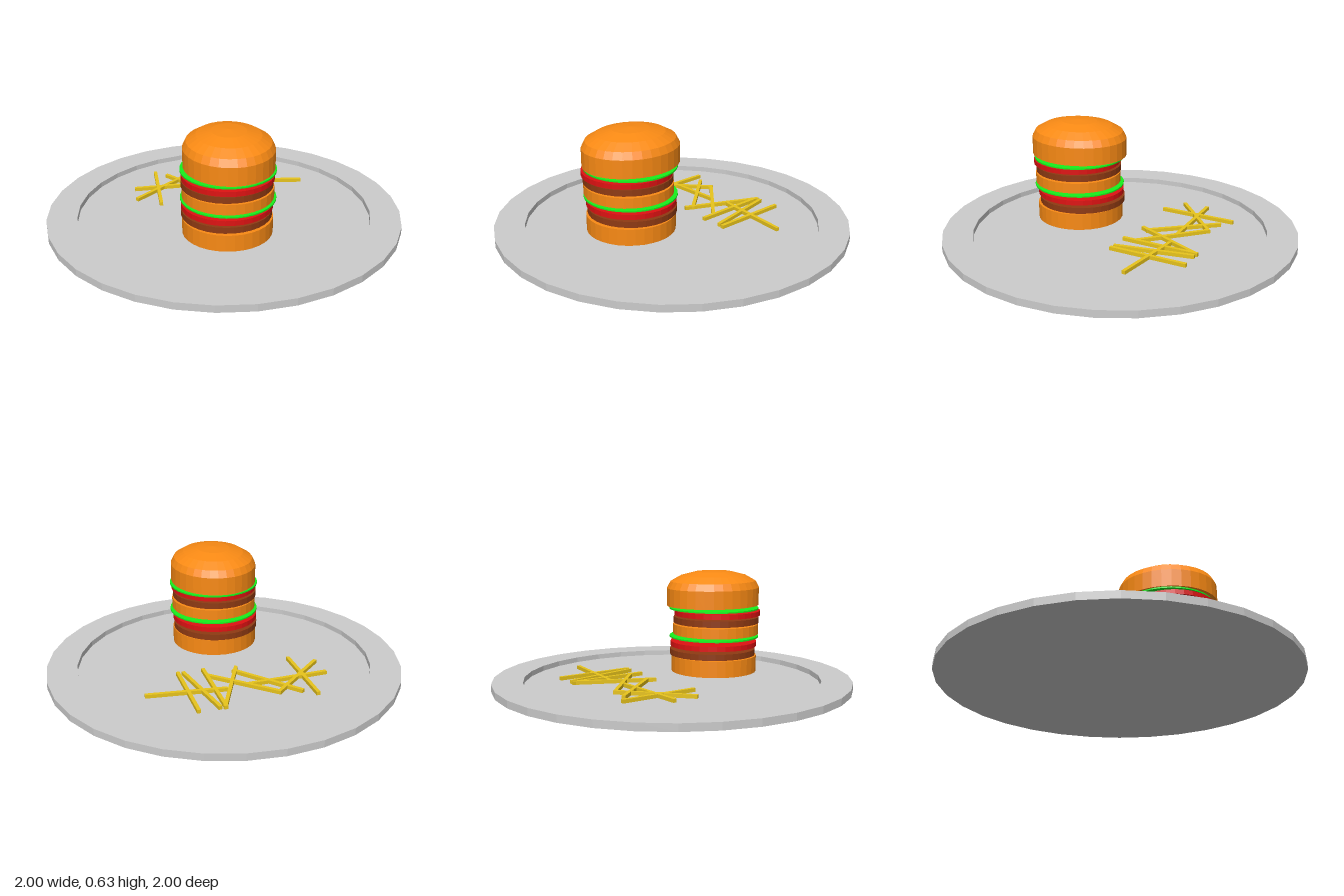
import * as THREE from 'three';

const material = (color) => new THREE.MeshStandardMaterial({ color, flatShading: true });
const grey = material(0xcccccc);
const bread = material(0xf98a14);
const meat = material(0x8f3a12);
const tomato = material(0xdf1212);
const lettuce = material(0x18f01c);
const potato = material(0xe8c41c);

function addMesh(parent, name, geometry, mat) {
  const mesh = new THREE.Mesh(geometry, mat);
  mesh.name = name;
  parent.add(mesh);
  return mesh;
}

// Round plate with a sunken floor inside a broad flat rim
function createPlate() {
  const profile = [[0, 0], [1, 0], [1, 0.04], [0.83, 0.04], [0.83, 0.01], [0, 0.01]]
    .map(([r, y]) => new THREE.Vector2(r, y));
  const plate = new THREE.Mesh(new THREE.LatheGeometry(profile, 32), grey);
  plate.name = 'plate';
  return plate;
}

// Stacked burger: slightly offset discs under a domed bun
function createBurger() {
  const burger = new THREE.Group();
  burger.name = 'burger';

  // name, material, bottom, top, x, z, radius
  const layers = [
    ['bottomBun', bread, 0.05, 0.142, -0.025, 0.277, 0.245],
    ['lowerPatty', meat, 0.148, 0.182, -0.028, 0.265, 0.245],
    ['lowerTomato', tomato, 0.197, 0.225, -0.027, 0.273, 0.247],
    ['lowerLettuce', lettuce, 0.247, 0.255, -0.022, 0.28, 0.256],
    ['middleBun', bread, 0.265, 0.322, -0.025, 0.29, 0.245],
    ['upperPatty', meat, 0.33, 0.365, -0.03, 0.29, 0.245],
    ['upperTomato', tomato, 0.373, 0.4, -0.027, 0.3, 0.247],
    ['upperLettuce', lettuce, 0.409, 0.417, -0.022, 0.28, 0.256],
  ];
  for (const [name, mat, bottom, top, x, z, r] of layers) {
    addMesh(burger, name, new THREE.CylinderGeometry(r, r, top - bottom, 32), mat)
      .position.set(x, (bottom + top) / 2, z);
  }

  // Top bun: straight sides, then a shallow dome, slightly oval
  const profile = [new THREE.Vector2(0, 0.43), new THREE.Vector2(1, 0.43)];
  for (let i = 0; i <= 4; i++) {
    const a = (i / 4) * Math.PI / 2;
    profile.push(new THREE.Vector2(i === 4 ? 0 : Math.cos(a), 0.53 + 0.1 * Math.sin(a)));
  }
  const topBun = addMesh(burger, 'topBun', new THREE.LatheGeometry(profile, 32), bread);
  topBun.scale.set(0.243, 1, 0.276);
  topBun.position.set(-0.018, 0, 0.276);
  return burger;
}

// Loose pile of square sticks, each laid between two points
function createFries() {
  const fries = new THREE.Group();
  fries.name = 'fries';

  // x and z of one end, x and z of the other
  const ends = [
    [-0.35, -0.55, -0.35, -0.105],
    [-0.49, -0.33, -0.03, -0.345],
    [-0.485, -0.185, -0.155, -0.48],
    [-0.285, -0.5, 0, -0.165],
    [-0.17, -0.48, 0.155, -0.18],
    [-0.03, -0.13, 0.16, -0.545],
    [0.155, -0.55, 0.155, -0.105],
    [0.185, -0.545, 0.27, -0.11],
    [0.3, -0.55, 0.3, -0.105],
    [0.09, -0.36, 0.527, -0.31],
  ];
  for (const [x1, z1, x2, z2] of ends) {
    const length = Math.hypot(x2 - x1, z2 - z1);
    const fry = addMesh(fries, 'fry', new THREE.BoxGeometry(0.02, 0.02, length), potato);
    fry.position.set((x1 + x2) / 2, 0.042, (z1 + z2) / 2);
    fry.rotation.y = Math.atan2(x2 - x1, z2 - z1);
  }
  return fries;
}

export function createModel() {
  const model = new THREE.Group();
  model.name = 'burgerPlate';
  model.add(createPlate(), createBurger(), createFries());
  return model;
}
